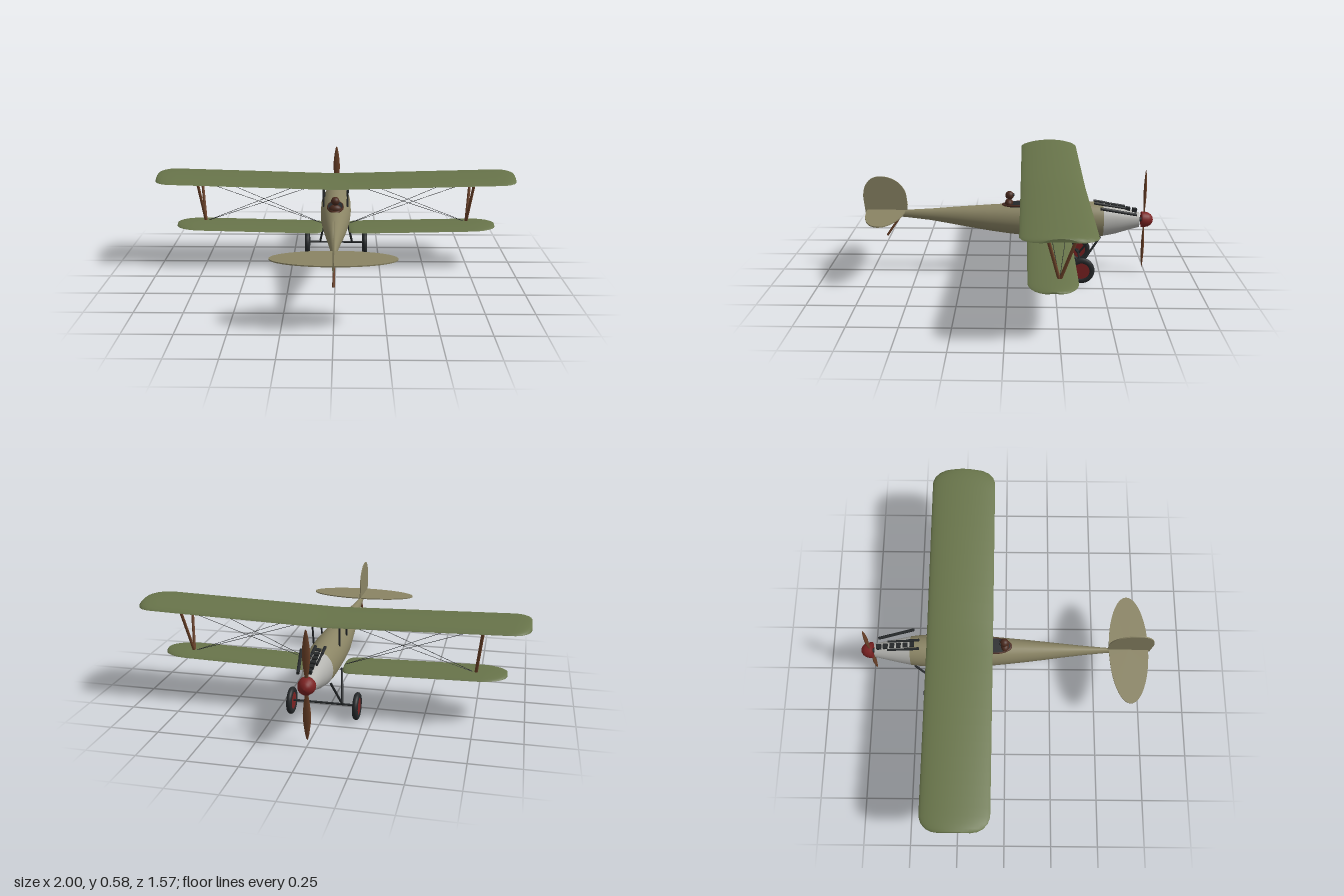
import * as THREE from 'three';

const paint = (color) => new THREE.MeshStandardMaterial({ color, side: THREE.DoubleSide });
const OLIVE = paint(0x68744a), LINEN = paint(0x8a8464), UNDER = paint(0x7d7664), METAL = paint(0xb2b2ae);
const DARK = paint(0x25282a), WOOD = paint(0x6b4128), RED = paint(0x7c2222), LEATHER = paint(0x4a2a1e);
const V = (x, y, z) => new THREE.Vector3(x, y, z);

export function createModel() {
  const model = new THREE.Group();
  const add = (name, geo, mat, x = 0, y = 0, z = 0) => {
    const m = new THREE.Mesh(geo, mat);
    m.name = name;
    m.position.set(x, y, z);
    model.add(m);
    return m;
  };

  // Round bar between two points
  const rod = (name, a, b, r, mat, sides = 8) => {
    const d = b.clone().sub(a);
    const m = add(name, new THREE.CylinderGeometry(r, r, d.length(), sides), mat);
    m.position.copy(a).addScaledVector(d, 0.5);
    m.quaternion.setFromUnitVectors(V(0, 1, 0), d.normalize());
    return m;
  };

  // Skin over rows of points; closed joins the last column to the first
  const loft = (rows, closed) => {
    const n = rows[0].length, idx = [];
    for (let i = 0; i < rows.length - 1; i++) {
      for (let j = 0; j < (closed ? n : n - 1); j++) {
        const k = (j + 1) % n, a = i * n, b = a + n;
        idx.push(a + j, a + k, b + j, a + k, b + k, b + j);
      }
    }
    const g = new THREE.BufferGeometry().setFromPoints(rows.flat());
    g.setIndex(idx);
    g.computeVertexNormals();
    return g;
  };

  // Fuselage: elliptical sections [z, bottom, top, half width]
  const tube = (name, stations, mat) => {
    const ring = ([z, lo, hi, w], s = 1) => Array.from({ length: 28 }, (_, j) => {
      const a = j / 28 * Math.PI * 2;
      return V(Math.cos(a) * w * s, (lo + hi) / 2 + Math.sin(a) * (hi - lo) / 2 * s, z);
    });
    const first = stations[0], last = stations[stations.length - 1];
    const rows = [ring(first, 0), ring(first), ...stations.map((s) => ring(s)), ring(last), ring(last, 0)];
    add(name, loft(rows, true), mat);
  };
  tube('engineCowling', [
    [-0.705, 0.262, 0.342, 0.036], [-0.65, 0.247, 0.357, 0.048],
    [-0.58, 0.225, 0.376, 0.062], [-0.51, 0.211, 0.393, 0.076],
  ], METAL);
  tube('fuselage', [
    [-0.51, 0.211, 0.393, 0.076], [-0.45, 0.208, 0.4, 0.083], [-0.38, 0.208, 0.402, 0.086],
    [-0.25, 0.208, 0.401, 0.086], [-0.1, 0.212, 0.394, 0.08], [0, 0.223, 0.387, 0.07],
    [0.1, 0.237, 0.381, 0.06], [0.2, 0.254, 0.374, 0.049], [0.3, 0.272, 0.367, 0.037],
    [0.42, 0.293, 0.357, 0.024], [0.55, 0.308, 0.35, 0.012], [0.65, 0.317, 0.347, 0.007], [0.775, 0.322, 0.346, 0.004],
  ], LINEN);

  // Wings: cambered panels from x0 to x1, each end = [rounding length, end chord share]
  const wing = (name, x0, x1, e0, e1, z, half, height, rise) => {
    const share = (d, [r, k]) => d >= r ? 1 : k + (1 - k) * Math.sqrt(Math.max(0, 1 - (1 - d / r) ** 2));
    const skin = (top) => {
      const rows = [];
      for (let i = 0; i <= 32; i++) {
        const x = (x0 + x1) / 2 - Math.cos(i / 32 * Math.PI) * (x1 - x0) / 2;
        const f = Math.min(share(x - x0, e0), share(x1 - x, e1));
        const row = [];
        for (let j = 0; j <= 16; j++) {
          const s = (1 - Math.cos(j / 16 * Math.PI)) / 2;
          const arch = Math.max(0, 4 * s ** 0.85 * (1 - s));
          const lift = top ? Math.max(arch, 0) ** 0.7 : 0.25 * arch;
          row.push(V(x, height(Math.abs(x)) + lift * rise * (0.4 + 0.6 * f), z + (2 * s - 1) * half * f));
        }
        rows.push(top ? row : row.reverse());
      }
      // Close the two ends
      return rows;
    };
    const up = skin(true), low = skin(false);
    add(name + 'Top', loft(up), OLIVE);
    add(name + 'Underside', loft(low), UNDER);
    for (const i of [0, 32]) add(name + 'End', loft([up[i], [...low[i]].reverse()]), OLIVE);
  };
  wing('upperWing', -1, 1, [0.085, 0.45], [0.085, 0.45], -0.238, 0.173, (x) => 0.481 + 0.028 * x, 0.027);
  const lowY = (x) => 0.217 + 0.022 * x, tip = [0.14, 0.2], root = [0.04, 0.6];
  wing('lowerLeftWing', 0.075, 0.9, root, tip, -0.22, 0.118, lowY, 0.018);
  wing('lowerRightWing', -0.9, -0.075, tip, root, -0.22, 0.118, lowY, 0.018);

  // Tailplane, fin and rudder
  add('tailplane', new THREE.CylinderGeometry(1, 1, 0.006, 48), LINEN, 0, 0.347, 0.66).scale.set(0.302, 1, 0.105);
  const fin = new THREE.Shape();
  fin.moveTo(0.55, 0.342);
  fin.bezierCurveTo(0.545, 0.36, 0.55, 0.37, 0.55, 0.41);
  fin.bezierCurveTo(0.55, 0.48, 0.61, 0.535, 0.69, 0.535);
  fin.bezierCurveTo(0.75, 0.535, 0.785, 0.49, 0.785, 0.42);
  fin.lineTo(0.775, 0.324);
  const finGeo = new THREE.ExtrudeGeometry(fin, { depth: 0.006, bevelEnabled: false, curveSegments: 16 });
  finGeo.rotateY(-Math.PI / 2);
  add('tailFin', finGeo, LINEN, 0.003);
  rod('tailSkid', V(0, 0.205, 0.662), V(0, 0.318, 0.585), 0.006, WOOD);

  for (const s of [-1, 1]) {
    // V struts, cabane struts and bracing wires
    for (const z of [-0.175, -0.345]) {
      rod('wingStrut', V(s * 0.745, 0.24, -0.25), V(s * 0.775, 0.512, z), 0.008, WOOD);
    }
    rod('cabaneStrut', V(s * 0.066, 0.36, -0.155), V(s * 0.07, 0.492, -0.178), 0.005, DARK);
    rod('cabaneStrut', V(s * 0.066, 0.36, -0.33), V(s * 0.07, 0.492, -0.345), 0.005, DARK);
    for (const z of [-0.18, -0.34]) {
      rod('bracingWire', V(s * 0.07, 0.492, z), V(s * 0.745, 0.245, -0.25), 0.0013, DARK, 5);
      rod('bracingWire', V(s * 0.08, 0.235, -0.25), V(s * 0.775, 0.51, z), 0.0013, DARK, 5);
    }
    // Undercarriage legs and wheels
    rod('undercarriageLeg', V(s * 0.095, 0.073, -0.39), V(s * 0.068, 0.225, -0.28), 0.006, DARK);
    rod('undercarriageLeg', V(s * 0.095, 0.073, -0.39), V(s * 0.06, 0.225, -0.495), 0.006, DARK);
    const tyre = new THREE.LatheGeometry([
      [0.042, -0.01], [0.05, -0.014], [0.062, -0.013], [0.069, -0.007], [0.07, 0],
      [0.069, 0.007], [0.062, 0.013], [0.05, 0.014], [0.042, 0.01],
    ].map(([x, y]) => new THREE.Vector2(x, y)), 36);
    tyre.rotateZ(Math.PI / 2);
    add('tyre', tyre, DARK, s * 0.17, 0.07, -0.39);
    const hub = new THREE.CylinderGeometry(0.043, 0.043, 0.021, 32).rotateZ(Math.PI / 2);
    add('wheelHub', hub, RED, s * 0.17, 0.07, -0.39);
    // Guns ahead of the cockpit
    rod('gunBody', V(s * 0.024, 0.4, -0.46), V(s * 0.024, 0.388, -0.53), 0.008, DARK);
    rod('gunBarrel', V(s * 0.024, 0.388, -0.53), V(s * 0.024, 0.372, -0.63), 0.006, DARK);
  }
  rod('axle', V(-0.17, 0.073, -0.39), V(0.17, 0.073, -0.39), 0.006, DARK);

  // Engine cylinders on the sloping nose, and the exhaust pipe
  for (let i = 0; i < 6; i++) {
    const t = i / 5;
    const c = add('engineCylinder', new THREE.BoxGeometry(0.026, 0.045, 0.024), DARK, 0, 0.378 - 0.034 * t, -0.495 - 0.182 * t);
    c.rotation.x = -0.17;
  }
  rod('exhaustPipe', V(0.053, 0.345, -0.685), V(0.088, 0.388, -0.49), 0.008, DARK, 12);

  // Radiator below the upper wing
  add('radiator', new THREE.BoxGeometry(0.13, 0.008, 0.11), DARK, 0, 0.485, -0.24);

  // Cockpit with pilot
  const rim = add('cockpitRim', new THREE.TorusGeometry(1, 0.1, 10, 40).rotateX(Math.PI / 2), LEATHER, 0, 0.387, -0.06);
  rim.scale.set(0.042, 0.06, 0.088);
  rim.rotation.x = 0.05;
  const well = add('cockpitOpening', new THREE.CylinderGeometry(1, 1, 0.012, 40), DARK, 0, 0.386, -0.06);
  well.scale.set(0.042, 1, 0.088);
  well.rotation.x = 0.05;
  add('pilotShoulders', new THREE.SphereGeometry(1, 20, 12), LEATHER, 0, 0.392, -0.003).scale.set(0.034, 0.024, 0.022);
  add('pilotHead', new THREE.SphereGeometry(0.023, 20, 14), LEATHER, 0, 0.435, -0.006);
  for (const s of [-1, 1]) add('goggle', new THREE.SphereGeometry(0.007, 10, 8), DARK, s * 0.009, 0.438, -0.026);

  // Propeller and spinner
  const blade = new THREE.LatheGeometry([
    [0.009, 0], [0.009, 0.05], [0.015, 0.09], [0.02, 0.14], [0.018, 0.19], [0.011, 0.24], [0.005, 0.268], [0, 0.275],
  ].map(([x, y]) => new THREE.Vector2(x, y)), 20);
  for (const s of [0, 1]) {
    const b = add('propellerBlade', blade, WOOD, 0, 0.305, -0.732);
    b.scale.z = 0.4;
    b.rotation.z = s * Math.PI;
  }
  const nose = new THREE.LatheGeometry([
    [0, 0], [0.043, 0], [0.043, 0.002], [0.043, 0.015], [0.038, 0.035], [0.028, 0.051], [0.014, 0.06], [0, 0.063],
  ].map(([x, y]) => new THREE.Vector2(x, y)), 28);
  add('spinner', nose.rotateX(-Math.PI / 2), RED, 0, 0.304, -0.718);
  rod('propellerShaft', V(0, 0.304, -0.72), V(0, 0.304, -0.7), 0.012, DARK, 12);

  return model;
}
